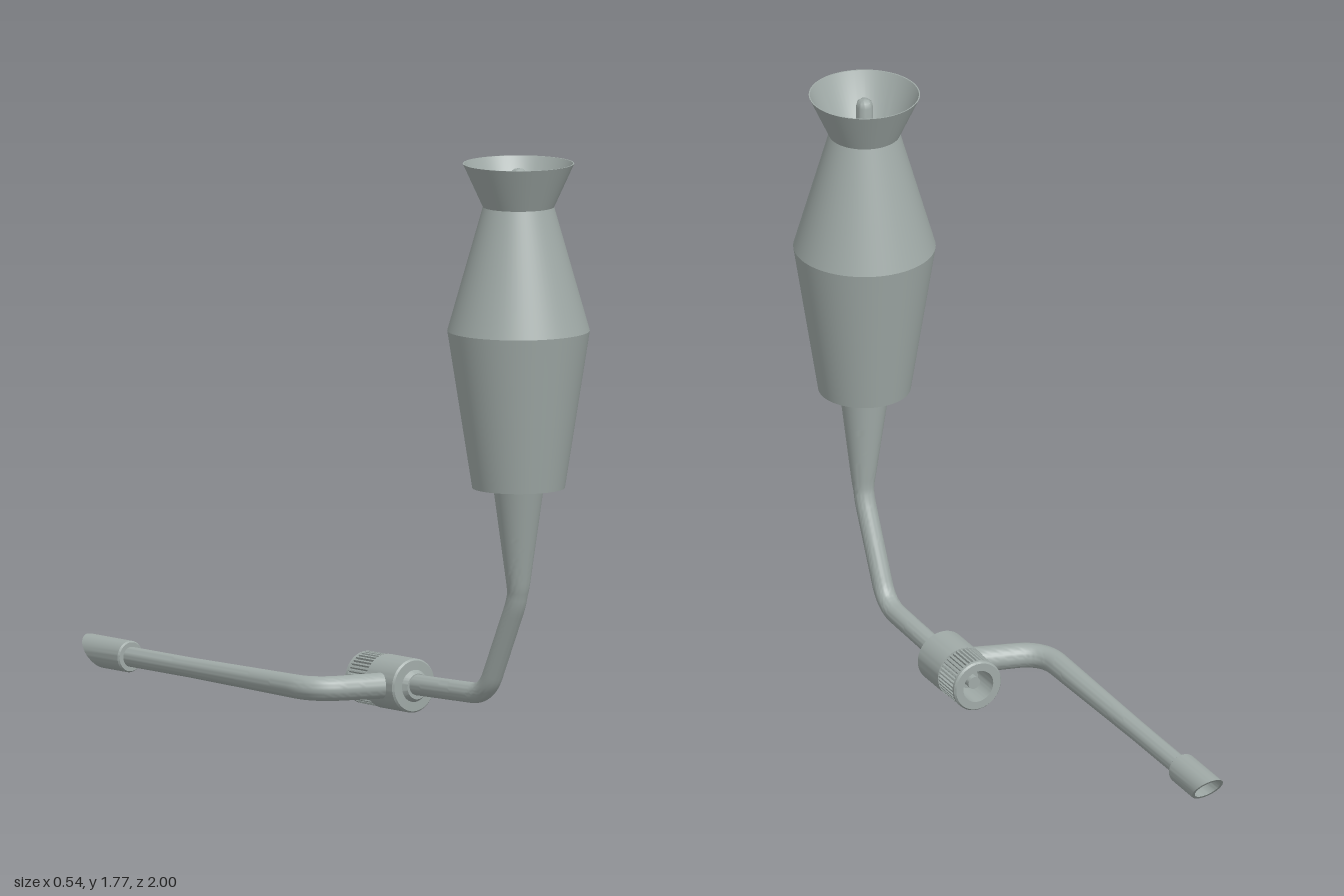
import * as THREE from 'three';
import { toCreasedNormals } from 'three/addons/utils/BufferGeometryUtils.js';

const grey = new THREE.MeshStandardMaterial({ color: 0xa0aaa7 });
grey.name = 'satin grey';

function part(name, geometry, crease = 0.35) {
  const mesh = new THREE.Mesh(toCreasedNormals(geometry, crease), grey);
  mesh.name = name;
  return mesh;
}

// Turned solid from [radius, height] pairs, going up the outside
function turned(profile, sides = 64) {
  return new THREE.LatheGeometry(profile.map(([r, y]) => new THREE.Vector2(r, y)), sides);
}

// Straight runs joined by rounded corners of the given sizes
function bentPath(corners, bends) {
  const pts = corners.map((c) => new THREE.Vector3(...c));
  const path = new THREE.CurvePath();
  let from = pts[0];
  for (let i = 1; i < pts.length - 1; i++) {
    const a = pts[i - 1].clone().sub(pts[i]).setLength(bends[i - 1]).add(pts[i]);
    const b = pts[i + 1].clone().sub(pts[i]).setLength(bends[i - 1]).add(pts[i]);
    path.add(new THREE.LineCurve3(from, a));
    path.add(new THREE.QuadraticBezierCurve3(a, pts[i], b));
    from = b;
  }
  path.add(new THREE.LineCurve3(from, pts[pts.length - 1]));
  return path;
}

// Tube whose radius follows radiusAt(u) along the path
function taperedTube(path, radiusAt, segments = 100, sides = 32) {
  const geo = new THREE.TubeGeometry(path, segments, 1, sides);
  const pos = geo.attributes.position;
  const v = new THREE.Vector3();
  for (let i = 0; i <= segments; i++) {
    const centre = path.getPointAt(i / segments);
    for (let j = 0; j <= sides; j++) {
      const k = i * (sides + 1) + j;
      v.fromBufferAttribute(pos, k).sub(centre).multiplyScalar(radiusAt(i / segments)).add(centre);
      pos.setXYZ(k, v.x, v.y, v.z);
    }
  }
  return geo;
}

export function createModel() {
  const model = new THREE.Group();

  // Flared vessel with a shallow bowl and a central pin
  const vessel = new THREE.Group();
  vessel.name = 'vessel';
  vessel.position.set(0.05, 0, 0.78);
  vessel.add(part('vesselBody', turned([
    [0, 0.765], [0.143, 0.765], [0.22, 1.255], [0.11, 1.64], [0.172, 1.775],
    [0.168, 1.775], [0.105, 1.64], [0.062, 1.585], [0.062, 1.53], [0, 1.53],
  ])));
  vessel.add(part('pin', turned([
    [0.048, 1.53], [0.048, 1.56], [0.026, 1.58], [0.026, 1.735],
    [0.022, 1.75], [0.013, 1.758], [0, 1.76],
  ], 32), 0.7));
  model.add(vessel);

  // Tapering stem from the vessel down to the coupling
  const stemPath = bentPath(
    [[0.05, 0.78, 0.78], [0.067, 0.42, 0.757], [0.067, 0.098, 0.6], [0.067, 0.088, 0.23]],
    [0.05, 0.07],
  );
  model.add(part('stem', taperedTube(stemPath, (u) => 0.032 + 0.048 * Math.max(0, 1 - u / 0.33)), 0.6));

  // Coupling, lying along z with its open end at the back
  const coupling = new THREE.Group();
  coupling.name = 'coupling';
  coupling.position.set(0.068, 0.084, 0.26);
  coupling.rotation.x = -Math.PI / 2;
  coupling.add(part('couplingBody', turned([
    [0, 0], [0.04, 0], [0.05, 0.015], [0.079, 0.016], [0.084, 0.022],
    [0.084, 0.155], [0, 0.155],
  ])));

  // Ribbed grip ring
  const ribs = 40;
  const outline = [];
  for (let i = 0; i < ribs; i++) {
    [[0, 0.075], [0.2, 0.082], [0.6, 0.082], [0.8, 0.075]].forEach(([f, r]) => {
      const a = ((i + f) / ribs) * Math.PI * 2;
      outline.push(new THREE.Vector2(r * Math.cos(a), r * Math.sin(a)));
    });
  }
  const ring = new THREE.Shape(outline);
  ring.holes.push(new THREE.Path().absarc(0, 0, 0.052, 0, Math.PI * 2, true));
  const grip = new THREE.ExtrudeGeometry(ring, { depth: 0.1, bevelEnabled: false, curveSegments: 32 });
  grip.rotateX(-Math.PI / 2).translate(0, 0.15, 0);
  coupling.add(part('ribbedGrip', grip));
  coupling.add(part('gripRim', turned([
    [0.052, 0.247], [0.082, 0.247], [0.082, 0.256], [0.077, 0.262], [0.052, 0.262], [0.052, 0.247],
  ])));
  coupling.add(part('couplingCore', turned([
    [0.032, 0.15], [0.032, 0.2], [0.02, 0.2], [0.02, 0.235], [0, 0.235],
  ], 32)));
  model.add(coupling);

  // Side tube, bending back towards the mouthpiece
  const sidePath = bentPath(
    [[0.05, 0.083, 0.185], [-0.22, 0.083, 0.11], [-0.224, 0.083, -0.86]],
    [0.09],
  );
  model.add(part('sideTube', taperedTube(sidePath, (u) => 0.041 - 0.01 * Math.min(1, u / 0.7)), 0.6));

  // Mouthpiece with a hollow, slanted end
  const tip = turned([
    [0.028, 0], [0.045, 0], [0.049, 0.006], [0.049, 0.2], [0.04, 0.2], [0.04, 0.07], [0, 0.07],
  ], 48);
  tip.rotateX(-Math.PI / 2);
  const pos = tip.attributes.position;
  for (let i = 0; i < pos.count; i++) {
    if (pos.getZ(i) < -0.15) pos.setZ(i, -0.167 - 0.88 * pos.getY(i));
  }
  const mouthpiece = part('mouthpiece', tip);
  mouthpiece.position.set(-0.224, 0.083, -0.79);
  model.add(mouthpiece);

  return model;
}
